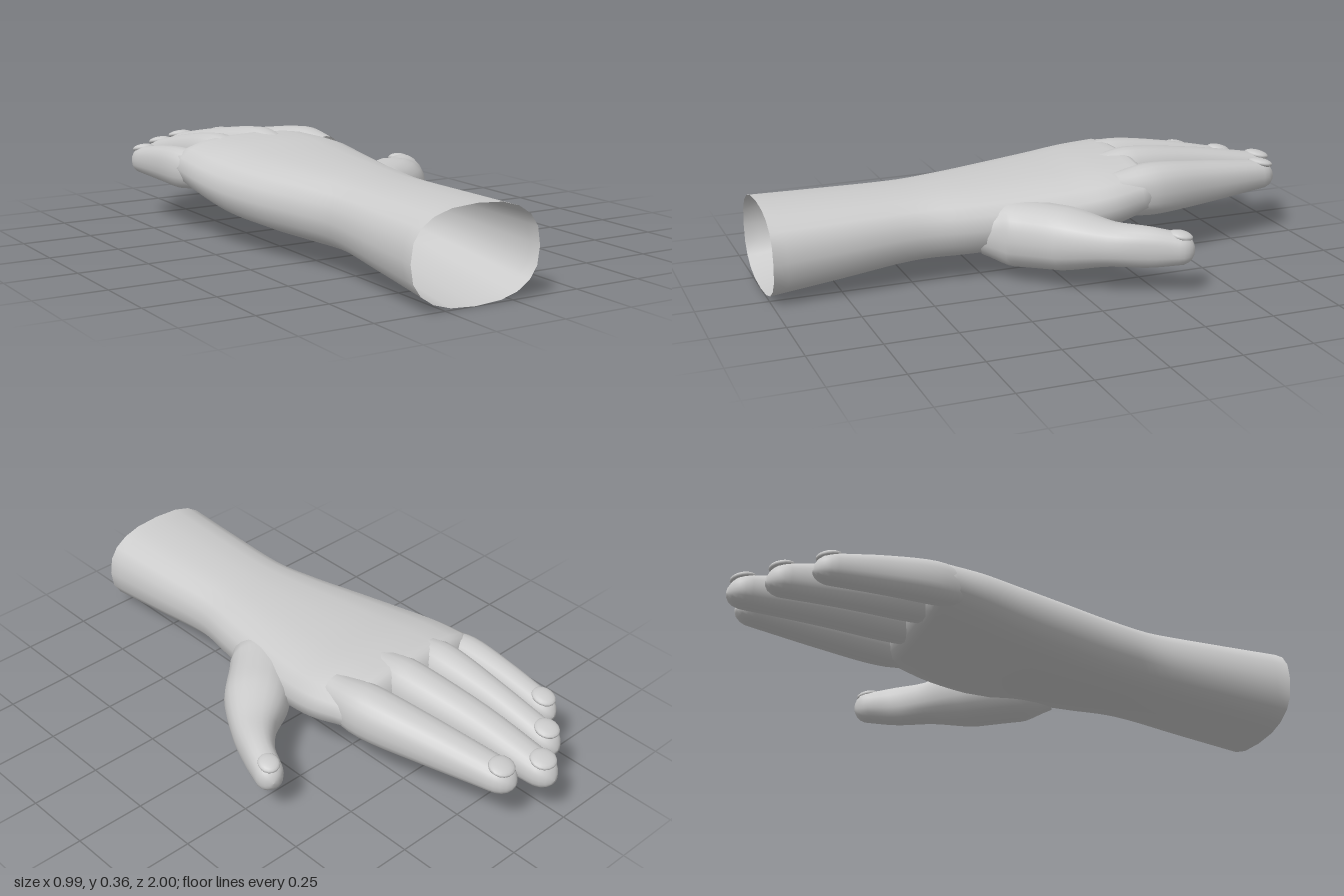
import * as THREE from 'three';

const skin = new THREE.MeshStandardMaterial({ color: 0xcccccc, side: THREE.DoubleSide });
const SIDES = 20;

// Smooth loft through keys [x, y, z, halfWidth, halfHeight], closed by a rounded cap of length capLen.
function loft(name, keys, { capLen, power = 2.3, steps = 5, fixedDir = null, drop = 0 }) {
  const centres = new THREE.CatmullRomCurve3(keys.map(k => new THREE.Vector3(k[0], k[1], k[2])));
  const sizes = new THREE.CatmullRomCurve3(keys.map(k => new THREE.Vector3(k[3], k[4], 0)));
  const up = new THREE.Vector3(0, 1, 0);
  const pos = [], idx = [];
  let rings = 0;
  const addRing = (c, dir, w, h) => {
    const side = new THREE.Vector3().crossVectors(dir, up).normalize();
    for (let j = 0; j < SIDES; j++) {
      const a = (j / SIDES) * Math.PI * 2, ca = Math.cos(a), sa = Math.sin(a);
      const u = Math.sign(ca) * Math.abs(ca) ** (2 / power) * w;
      const v = Math.sign(sa) * Math.abs(sa) ** (2 / power) * h;
      pos.push(c.x + side.x * u, c.y + v, c.z + side.z * u);
    }
    rings++;
  };
  const n = (keys.length - 1) * steps;
  let c, dir, s;
  for (let i = 0; i <= n; i++) {
    c = centres.getPoint(i / n);
    dir = fixedDir ?? centres.getTangent(i / n);
    s = sizes.getPoint(i / n);
    addRing(c, dir, s.x, s.y);
  }
  // rounded end
  for (let k = 1; k <= 5; k++) {
    const a = (k / 5) * Math.PI / 2, f = Math.max(Math.cos(a), 0.01);
    const p = c.clone().addScaledVector(dir, Math.sin(a) * capLen);
    p.y -= drop * (1 - f);
    addRing(p, dir, s.x * f, s.y * f);
  }
  for (let i = 0; i < rings - 1; i++) {
    for (let j = 0; j < SIDES; j++) {
      const a = i * SIDES + j, b = i * SIDES + (j + 1) % SIDES;
      idx.push(a, a + SIDES, b, b, a + SIDES, b + SIDES);
    }
  }
  const g = new THREE.BufferGeometry();
  g.setAttribute('position', new THREE.Float32BufferAttribute(pos, 3));
  g.setIndex(idx);
  g.computeVertexNormals();
  const mesh = new THREE.Mesh(g, skin);
  mesh.name = name;
  return mesh;
}

// Thin domed nail lying on a digit
function nail(name, x, y, z, w, len, yaw, pitch) {
  const mesh = new THREE.Mesh(new THREE.SphereGeometry(1, 16, 10), skin);
  mesh.scale.set(w, 0.016, len);
  mesh.position.set(x, y, z);
  mesh.rotation.set(pitch, yaw, 0, 'YXZ');
  mesh.name = name;
  return mesh;
}

export function createModel() {
  const hand = new THREE.Group();
  hand.name = 'hand';

  // Forearm and palm, from the open wrist end: [z, xMin, xMax, yMin, yMax]
  const sections = [
    [1.0, -0.375, 0.10, 0.005, 0.32],
    [0.75, -0.36, 0.09, 0.035, 0.317],
    [0.5, -0.35, 0.08, 0.065, 0.315],
    [0.3, -0.385, 0.11, 0.07, 0.32],
    [0.12, -0.43, 0.14, 0.075, 0.328],
    [-0.05, -0.465, 0.165, 0.09, 0.338],
    [-0.2, -0.485, 0.175, 0.12, 0.35],
    [-0.34, -0.485, 0.15, 0.155, 0.355],
  ];
  hand.add(loft('forearmAndPalm', sections.map(([z, x0, x1, y0, y1]) =>
    [(x0 + x1) / 2, (y0 + y1) / 2, z, (x1 - x0) / 2, (y1 - y0) / 2]),
  { capLen: 0.055, power: 2.5, fixedDir: new THREE.Vector3(0, 0, -1) }));

  // Fingers: knuckle root, base, middle, end
  const fingers = {
    littleFinger: [
      [-0.42, 0.24, -0.24, 0.04, 0.05], [-0.433, 0.242, -0.38, 0.061, 0.073],
      [-0.433, 0.235, -0.55, 0.054, 0.065], [-0.43, 0.222, -0.71, 0.05, 0.052]],
    ringFinger: [
      [-0.285, 0.265, -0.25, 0.06, 0.075], [-0.293, 0.262, -0.39, 0.076, 0.093],
      [-0.3, 0.245, -0.62, 0.061, 0.077], [-0.305, 0.22, -0.83, 0.055, 0.056]],
    middleFinger: [
      [-0.12, 0.27, -0.25, 0.065, 0.08], [-0.125, 0.267, -0.39, 0.083, 0.099],
      [-0.16, 0.245, -0.68, 0.073, 0.08], [-0.174, 0.222, -0.925, 0.06, 0.056]],
    indexFinger: [
      [0.075, 0.26, -0.23, 0.06, 0.075], [0.06, 0.26, -0.39, 0.086, 0.093],
      [0.008, 0.245, -0.63, 0.075, 0.077], [-0.04, 0.232, -0.865, 0.06, 0.055]],
  };
  for (const [name, keys] of Object.entries(fingers)) {
    hand.add(loft(name, keys, { capLen: 0.073, drop: 0.01 }));
    const [x, y, z, w, h] = keys[3];
    const yaw = Math.atan2(keys[2][0] - x, keys[2][2] - z);
    hand.add(nail(name + 'Nail', x, y + h - 0.01, z - 0.02, w * 0.8, 0.045, yaw, -0.22));
  }

  // Thumb, growing out of the heel of the palm
  hand.add(loft('thumb', [
    [0.03, 0.17, 0.25, 0.07, 0.08],
    [0.08, 0.165, 0.14, 0.115, 0.115],
    [0.215, 0.17, 0.01, 0.115, 0.108],
    [0.335, 0.172, -0.11, 0.078, 0.075],
    [0.405, 0.17, -0.215, 0.056, 0.07],
    [0.443, 0.165, -0.305, 0.05, 0.056],
  ], { capLen: 0.055 }));
  hand.add(nail('thumbNail', 0.445, 0.212, -0.31, 0.037, 0.042, -0.4, -0.2));

  return hand;
}
